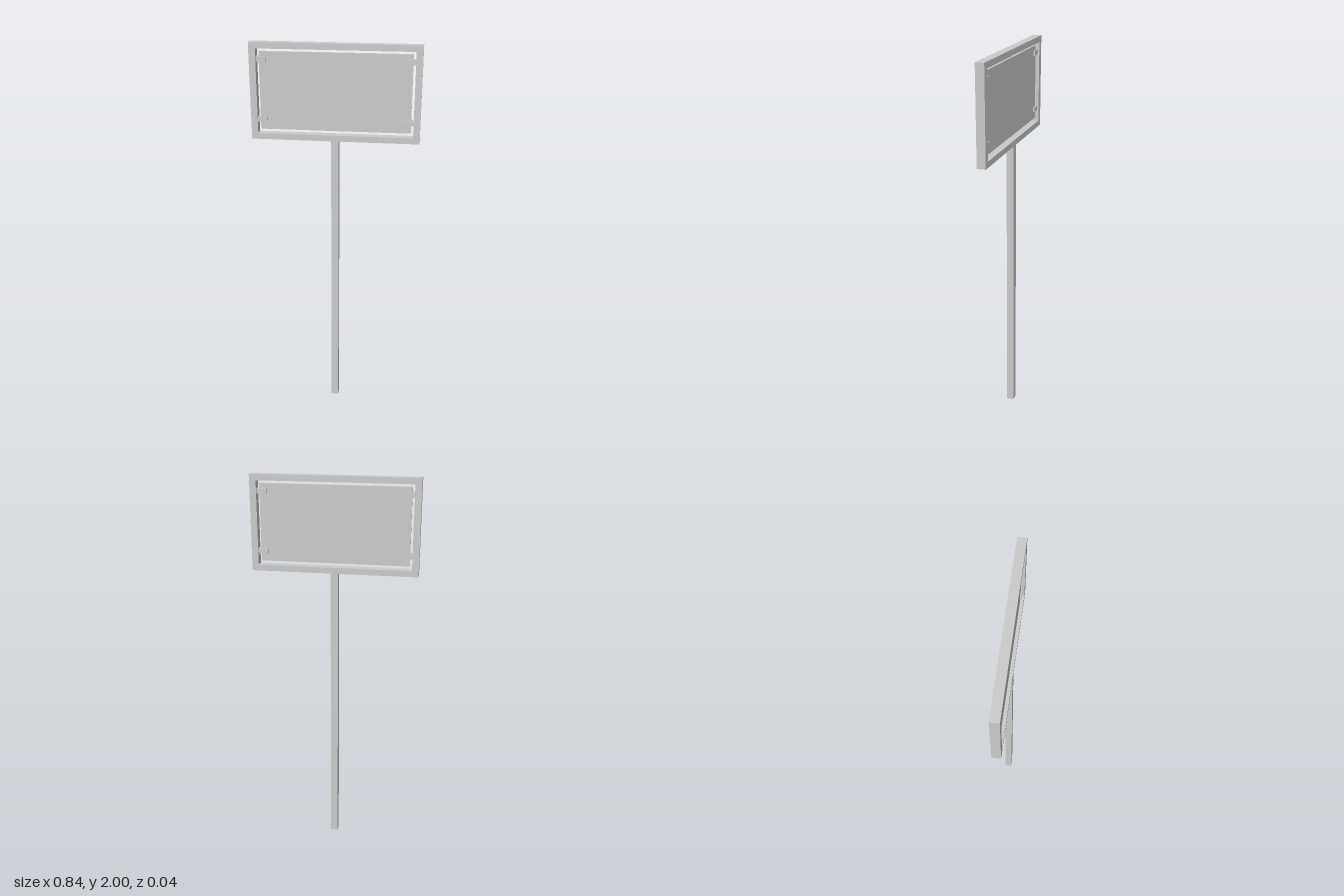
import * as THREE from 'three';

const material = new THREE.MeshStandardMaterial({ color: 0xcccccc, flatShading: true });

export function createModel() {
  const sign = new THREE.Group();
  sign.name = 'signpost';

  function add(name, geometry, x, y, z) {
    const mesh = new THREE.Mesh(geometry, material);
    mesh.name = name;
    mesh.position.set(x, y, z);
    sign.add(mesh);
  }

  function rectangle(PathType, halfW, halfH) {
    return new PathType([
      new THREE.Vector2(-halfW, -halfH),
      new THREE.Vector2(halfW, -halfH),
      new THREE.Vector2(halfW, halfH),
      new THREE.Vector2(-halfW, halfH),
    ]);
  }

  const depth = 0.044;
  const centreY = 1.76;

  // Square post up to the underside of the frame
  add('post', new THREE.BoxGeometry(0.038, 1.52, 0.038), 0, 0.76, 0);

  // Open rectangular frame
  const outline = rectangle(THREE.Shape, 0.421, 0.24);
  outline.holes.push(rectangle(THREE.Path, 0.388, 0.21));
  const frame = new THREE.ExtrudeGeometry(outline, { depth, bevelEnabled: false });
  add('frame', frame, 0, centreY, -depth / 2);

  // Thin sign board floating inside the frame
  add('board', new THREE.BoxGeometry(0.75, 0.386, 0.012), 0, 1.762, 0);

  // Four clips joining the board to the frame's sides
  for (const side of [-1, 1]) {
    for (const y of [1.62, 1.918]) {
      add('clip', new THREE.BoxGeometry(0.05, 0.025, 0.027), side * 0.364, y, 0);
    }
  }

  return sign;
}
